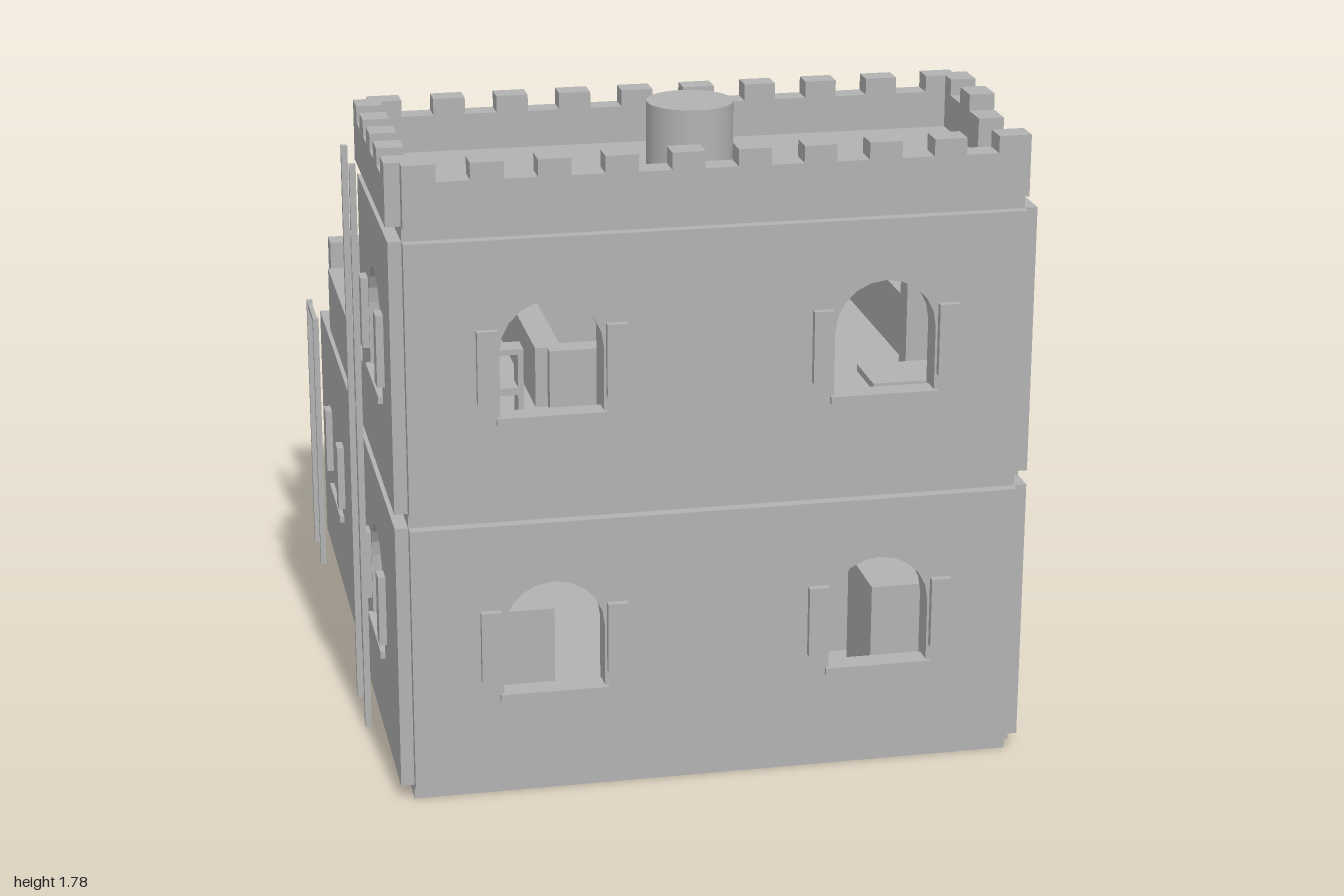
import * as THREE from 'three';

export function createModel() {
  const model = new THREE.Group();
  const stone = new THREE.MeshStandardMaterial({ color: 0xb2b2b2 });
  stone.name = 'grey stone';

  const add = (name, geo) => {
    const m = new THREE.Mesh(geo, stone);
    m.name = name;
    model.add(m);
    return m;
  };
  // Box given by its limits on each axis
  const box = (name, x0, x1, y0, y1, z0, z1) =>
    add(name, new THREE.BoxGeometry(x1 - x0, y1 - y0, z1 - z0)
      .translate((x0 + x1) / 2, (y0 + y1) / 2, (z0 + z1) / 2));
  const cylinder = (name, x, z, r, y0, y1) =>
    add(name, new THREE.CylinderGeometry(r, r, y1 - y0, 32).translate(x, (y0 + y1) / 2, z));

  // Points of an arched opening, from bottom left over the top to bottom right
  const archPoints = ({ c, half, bottom, spring, rise }) => {
    const pts = [new THREE.Vector2(c - half, bottom)];
    for (let i = 0; i <= 10; i++) {
      const a = Math.PI * (1 - i / 10);
      pts.push(new THREE.Vector2(c + half * Math.cos(a), spring + rise * Math.sin(a)));
    }
    pts.push(new THREE.Vector2(c + half, bottom));
    return pts;
  };
  const door = (c, floor) => ({ c, half: 0.25, bottom: floor, spring: floor + 0.47, rise: 0.17 });
  const win = (c, sill) => ({ c, half: 0.135, bottom: sill, spring: sill + 0.18, rise: 0.135 });

  // Wall plate along x or z; doors notch the lower edge, windows are holes
  const wall = (name, axis, u0, u1, y0, y1, outer, doors = [], windows = []) => {
    const t = 0.07;
    const pts = [new THREE.Vector2(u0, y0)];
    doors.forEach(d => pts.push(...archPoints(d)));
    pts.push(new THREE.Vector2(u1, y0), new THREE.Vector2(u1, y1), new THREE.Vector2(u0, y1));
    const shape = new THREE.Shape(pts);
    windows.forEach(w => shape.holes.push(new THREE.Path(archPoints(w))));
    const geo = new THREE.ExtrudeGeometry(shape, { depth: t, bevelEnabled: false });
    if (axis === 'x') geo.translate(0, 0, outer - t);
    else geo.rotateY(-Math.PI / 2).translate(outer, 0, 0);
    add(name, geo);
  };

  const L = -0.8, R = 0.83;            // ends of front and back walls
  const F = 0.95, B = -0.96;           // ends of side walls
  const OUT_R = 0.865, OUT_L = -0.765; // plus-x limits of the side walls
  const G0 = 0.04, G1 = 0.77, U0 = 0.81, U1 = 1.54;
  const wx = [-0.425, 0.455], sills = [0.29, 1.06];

  // Base and floors, the upper floor open over the well
  box('base', L, R, 0, G0, B, F);
  const sky = { x0: -0.265, x1: 0.29, z0: -0.465, z1: 0.155 };
  box('upperFloor', L, R, G1, U0, sky.z1, F);
  box('upperFloor', L, R, G1, U0, B, sky.z0);
  box('upperFloor', L, sky.x0, G1, U0, sky.z0, sky.z1);
  box('upperFloor', sky.x1, R, G1, U0, sky.z0, sky.z1);
  box('towerRoof', L, R, U1, 1.6, 0.27, F);

  // Ground storey
  wall('groundFrontWall', 'x', L, R, G0, G1, 0.98, [], wx.map(c => win(c, sills[0])));
  wall('groundBackWall', 'x', L, R, G0, G1, -0.92, [door(0.015, G0)]);
  wall('groundRightWall', 'z', B, F, G0, G1, OUT_R, [door(0, G0)]);
  wall('groundLeftWall', 'z', B, F, G0, G1, OUT_L, [], [win(0.505, sills[0])]);
  wall('groundPartition', 'x', L, R, G0, G1, 0.31, [door(-0.23, G0)]);

  // Tower storey
  wall('towerFrontWall', 'x', L, R, U0, U1, 0.98, [], wx.map(c => win(c, sills[1])));
  wall('towerBackWall', 'x', L, R, U0, U1, 0.315, wx.map(c => door(c, U0)));
  wall('towerRightWall', 'z', 0.275, F, U0, U1, OUT_R, [door(0.61, U0)]);
  wall('towerLeftWall', 'z', 0.275, F, U0, U1, OUT_L, [], [win(0.615, sills[1])]);

  // Terrace parapet, with a gap at the short ladder
  box('terraceParapet', 0.795, 0.865, U0, 1, B, 0.275);
  box('terraceParapet', L, R, U0, 1, -0.995, -0.925);
  box('terraceParapet', -0.835, -0.765, U0, 1, -0.65, 0.275);

  // Crenellated tower parapets
  const battlement = (name, axis, u0, u1, v0, v1, n) => {
    const piece = (part, a, b, y0, y1) => axis === 'x'
      ? box(part, a, b, y0, y1, v0, v1) : box(part, v0, v1, y0, y1, a, b);
    piece(name, u0, u1, 1.58, 1.7);
    const s = (u1 - u0) / n;
    for (let i = 0; i < n; i += 2) piece('merlon', u0 + i * s, u0 + (i + 1) * s, 1.7, 1.745);
  };
  battlement('frontParapet', 'x', L, R, 0.915, 0.985, 19);
  battlement('backParapet', 'x', L, R, 0.24, 0.305, 19);
  battlement('leftParapet', 'z', 0.27, F, -0.84, -0.77, 9);
  battlement('rightParapet', 'z', 0.27, 0.625, 0.8, 0.87, 4);
  cylinder('chimney', 0.015, 0.59, 0.115, 1.6, 1.78);

  // Window sills and shutters
  for (const y of sills) {
    for (const c of wx) {
      box('sill', c - 0.145, c + 0.145, y - 0.012, y + 0.008, 0.93, 0.993);
      for (const s of [-1, 1])
        box('shutter', c + s * 0.168 - 0.027, c + s * 0.168 + 0.027, y + 0.05, y + 0.245, 0.975, 1);
    }
  }
  for (const [c, y] of [[0.505, sills[0]], [0.615, sills[1]], [-0.53, sills[0]]]) {
    box('sill', -0.848, -0.785, y - 0.012, y + 0.008, c - 0.145, c + 0.145);
    for (const s of [-1, 1])
      box('shutter', -0.855, -0.83, y + 0.05, y + 0.245, c + s * 0.168 - 0.027, c + s * 0.168 + 0.027);
  }

  // Ladder rails on the left side
  for (const [z, top] of [[0.27, 1.62], [0.47, 1.62], [-0.95, 0.81], [-0.76, 0.81]])
    box('ladderRail', -0.877, -0.86, 0, top, z - 0.01, z + 0.01);
  box('ladderRung', -0.875, -0.862, 0.79, 0.805, -0.95, -0.76);

  // Curb around the floor opening, notched at its corners
  const cy = 0.985;
  box('curb', -0.34, sky.x0, U0, cy, -0.5, 0.19);
  box('curb', sky.x1, 0.365, U0, cy, -0.5, 0.19);
  box('curb', -0.305, 0.33, U0, cy, -0.535, sky.z0);
  box('curb', -0.305, 0.33, U0, cy, sky.z1, 0.225);

  // Well with a ring of four curved stones, two posts and a crossbar
  for (let i = 0; i < 4; i++) {
    const a = i * Math.PI / 2 + 0.2, b = (i + 1) * Math.PI / 2 - 0.2;
    const s = new THREE.Shape();
    s.absarc(0, 0, 0.097, a, b, false);
    s.absarc(0, 0, 0.065, b, a, true);
    add('wellStone', new THREE.ExtrudeGeometry(s, { depth: 0.12, bevelEnabled: false, curveSegments: 8 })
      .rotateX(-Math.PI / 2).translate(0.105, G0, -0.157));
  }
  for (const x of [-0.025, 0.225]) box('wellPost', x, x + 0.025, G0, 0.46, -0.168, -0.143);
  box('wellCrossbar', -0.035, 0.255, 0.455, 0.485, -0.172, -0.14);

  // Terrace chest and pot
  box('chest', 0.465, 0.735, U0, 0.92, -0.775, -0.545);
  cylinder('pot', 0.68, -0.82, 0.065, U0, 0.87);

  // Ground floor crates
  box('crate', -0.62, -0.385, G0, 0.43, 0.5, 0.75);
  box('crate', 0.5, 0.75, G0, 0.42, 0.5, 0.75);

  // Tower chair and shelf
  for (const x of [-0.65, -0.495]) box('chairPost', x, x + 0.015, U0, 1.21, 0.8, 0.865);
  box('chairTopRail', -0.635, -0.495, 1.195, 1.21, 0.8, 0.865);
  box('chairSlat', -0.635, -0.495, 1.085, 1.105, 0.8, 0.865);
  box('chairSeat', -0.65, -0.48, 0.915, 0.935, 0.76, 0.865);
  box('shelf', 0.5, 0.74, 0.98, 1, 0.545, 0.715);

  return model;
}
